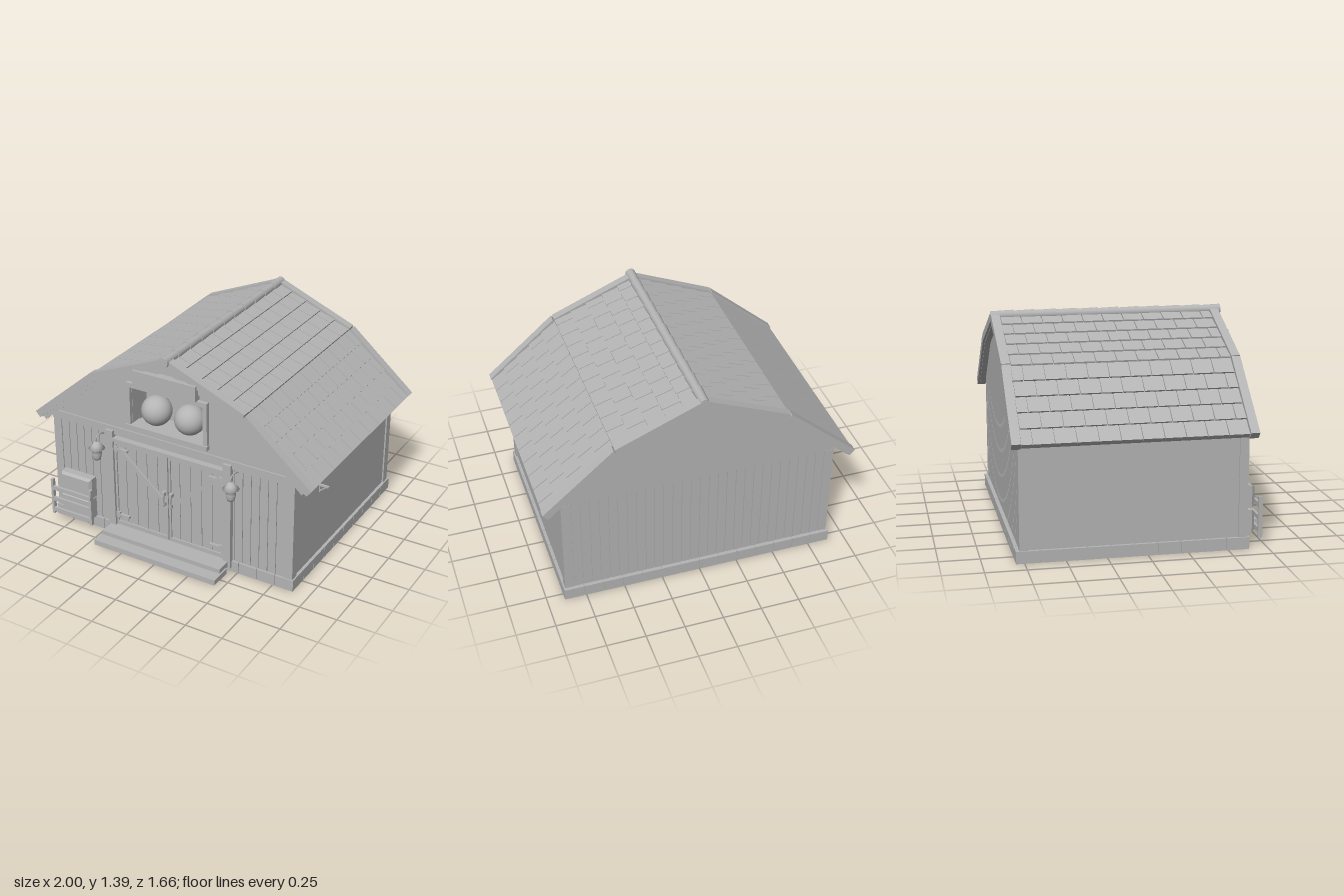
import * as THREE from 'three';
import { mergeGeometries } from 'three/addons/utils/BufferGeometryUtils.js';

const gray = new THREE.MeshStandardMaterial({ color: 0xb4b4b4 });
gray.name = 'plainGray';

// box from min and max corners
function block(x0, x1, y0, y1, z0, z1) {
  return new THREE.BoxGeometry(x1 - x0, y1 - y0, z1 - z0)
    .translate((x0 + x1) / 2, (y0 + y1) / 2, (z0 + z1) / 2);
}

// slanted board in the xy plane, from a to b, spanning z0..z1
function board(a, b, thick, z0, z1) {
  const dx = b[0] - a[0], dy = b[1] - a[1];
  return new THREE.BoxGeometry(Math.hypot(dx, dy), thick, z1 - z0)
    .rotateZ(Math.atan2(dy, dx))
    .translate((a[0] + b[0]) / 2, (a[1] + b[1]) / 2, (z0 + z1) / 2);
}

function polygon(points) {
  return new THREE.Shape(points.map(p => new THREE.Vector2(p[0], p[1])));
}

function prism(shape, z0, z1) {
  return new THREE.ExtrudeGeometry(shape, { depth: z1 - z0, bevelEnabled: false }).translate(0, 0, z0);
}

export function createModel() {
  const barn = new THREE.Group();
  barn.name = 'barn';
  const add = (name, ...geos) => {
    const geo = geos.length > 1 ? mergeGeometries(geos.map(g => g.index ? g.toNonIndexed() : g)) : geos[0];
    const mesh = new THREE.Mesh(geo, gray);
    mesh.name = name;
    barn.add(mesh);
  };

  // stone foundation
  add('foundationCore', block(-0.885, 0.885, 0, 0.072, -0.795, 0.625));
  const stones = [];
  for (let i = 0; i < 10; i++) {
    const z = -0.8 + i * 0.143;
    for (const s of [-1, 1]) stones.push(block(s * 0.87 - 0.02, s * 0.87 + 0.02, 0, 0.076, z + 0.002, z + 0.141));
  }
  for (let i = 0; i < 14; i++) {
    const x = -0.89 + i * 1.78 / 14;
    for (const z of [-0.802, 0.592]) stones.push(block(x + 0.002, x + 0.125, 0, 0.076, z, z + 0.04));
  }
  add('foundationStones', ...stones);

  // walls and gables, with a recessed loft opening in the front
  const outline = [[-0.88, 0.75], [0.88, 0.75], [0.88, 0.785], [0.53, 1.095], [0, 1.315], [-0.53, 1.095], [-0.88, 0.785]];
  add('wallBody', block(-0.87, 0.87, 0.07, 0.755, -0.768, 0.608));
  add('gableBody', prism(polygon(outline), -0.778, 0.46));
  const front = polygon(outline);
  front.holes.push(new THREE.Path([[-0.26, 0.85], [-0.26, 1.12], [0.26, 1.12], [0.26, 0.85]].map(p => new THREE.Vector2(...p))));
  add('frontGable', prism(front, 0.46, 0.62));

  // vertical wall planks
  const planks = [];
  for (let i = 0; i < 28; i++) {
    const x = -0.82 + i * 1.64 / 28, w = 1.64 / 28;
    planks.push(block(x + 0.002, x + w - 0.002, 0.07, 0.75, -0.778, -0.76));
    if (x + w < -0.4 || x > 0.4) planks.push(block(x + 0.002, x + w - 0.002, 0.07, 0.75, 0.6, 0.618));
  }
  add('wallPlanks', ...planks);

  // corner boards and front beam
  const corners = [];
  for (const s of [-1, 1]) {
    for (const z of [-0.78, 0.565]) {
      const x = s * 0.85;
      corners.push(block(x - 0.03, x + 0.03, 0.07, 0.75, z, z + 0.057));
    }
  }
  add('cornerBoards', ...corners);
  add('frontBeam', block(-0.88, 0.88, 0.74, 0.795, 0.6, 0.63));

  // gambrel roof: deck, shingles, edge boards
  const ridge = [0, 1.345], knee = [0.54, 1.12], eave = [0.985, 0.737];
  const m = p => [-p[0], p[1]];
  add('roofDeck', prism(polygon([ridge, knee, [0.975, 0.745], [0.955, 0.72], [0.525, 1.09], [0, 1.312],
    [-0.525, 1.09], [-0.955, 0.72], [-0.975, 0.745], m(knee)]), -0.815, 0.64));
  const shingles = [], edges = [], trim = [];
  for (const s of [-1, 1]) {
    const pts = [ridge, knee, eave].map(p => [p[0] * s, p[1]]);
    for (let k = 0; k < 2; k++) {
      const a = pts[k], b = pts[k + 1];
      for (const [z0, z1] of [[-0.83, -0.775], [0.595, 0.65]]) {
        edges.push(board(a, b, 0.05, z0, z1));
      }
      // narrow strip beneath the front edge
      trim.push(board([a[0], a[1] - 0.045], [b[0] - s * 0.04 * k, b[1] - 0.045 + 0.03 * k], 0.04, 0.6, 0.635));
      const len = Math.hypot(b[0] - a[0], b[1] - a[1]);
      const n = [s * (a[1] - b[1]) / len, Math.abs(b[0] - a[0]) / len];
      for (let r = 0; r < 5; r++) {
        const at = (t, h) => [a[0] + (b[0] - a[0]) * t + n[0] * h, a[1] + (b[1] - a[1]) * t + n[1] * h];
        const p = at(r / 5, 0), q = at((r + 1) / 5, 0.01);
        const shift = (r + k) % 2 ? 0.065 : 0;
        for (let z = -0.772 - shift; z < 0.59; z += 0.13) {
          const z0 = Math.max(z, -0.775) + 0.003, z1 = Math.min(z + 0.13, 0.595) - 0.003;
          if (z1 - z0 > 0.015) shingles.push(board(p, q, 0.016, z0, z1));
        }
      }
    }
  }
  add('roofShingles', ...shingles);
  add('roofEdgeBoards', ...edges);
  add('gableTrim', ...trim);

  // overlapping ridge tiles
  const caps = [];
  for (let i = 0; i < 11; i++) {
    caps.push(new THREE.CylinderGeometry(0.034, 0.028, 0.145, 12).rotateX(Math.PI / 2)
      .translate(0, 1.352, -0.755 + i * 0.135));
  }
  add('ridgeTiles', ...caps);

  // loft window frame, sign board and round bales
  add('loftFrame', block(-0.29, -0.262, 0.84, 1.14, 0.6, 0.645), block(0.262, 0.29, 0.84, 1.14, 0.6, 0.645),
    block(-0.29, 0.29, 1.115, 1.145, 0.6, 0.645), block(-0.295, 0.295, 0.828, 0.858, 0.55, 0.655));
  add('blankBoard', block(-0.225, 0.225, 1.15, 1.25, 0.615, 0.668));
  for (const s of [-1, 1]) {
    add('loftBall', new THREE.SphereGeometry(0.098, 24, 16).translate(s * 0.12, 0.957, 0.56));
  }

  // double door
  add('doorPosts', block(-0.458, -0.402, 0.03, 0.77, 0.6, 0.65), block(0.402, 0.458, 0.03, 0.77, 0.6, 0.65));
  add('doorLintel', block(-0.402, 0.402, 0.7, 0.722, 0.6, 0.65));
  for (const s of [-1, 1]) {
    const box = (x0, x1, ...rest) => block(Math.min(s * x0, s * x1), Math.max(s * x0, s * x1), ...rest);
    const leaf = [];
    for (let i = 0; i < 5; i++) leaf.push(box(0.005 + i * 0.079, 0.08 + i * 0.079, 0.08, 0.695, 0.6, 0.626));
    add('doorPlanks', ...leaf);
    add('doorFrame', box(0.004, 0.018, 0.08, 0.695, 0.6, 0.636), box(0.385, 0.4, 0.08, 0.695, 0.6, 0.636),
      box(0.004, 0.4, 0.08, 0.108, 0.6, 0.637), box(0.004, 0.4, 0.675, 0.697, 0.6, 0.637),
      board([s * 0.375, 0.655], [s * 0.025, 0.35], 0.026, 0.6, 0.64));
    add('doorHinges', box(0.3, 0.4, 0.147, 0.163, 0.6, 0.644), box(0.3, 0.4, 0.635, 0.651, 0.6, 0.644),
      box(0.372, 0.4, 0.135, 0.175, 0.6, 0.643), box(0.372, 0.4, 0.623, 0.663, 0.6, 0.643));
    add('doorHandle', box(0.02, 0.032, 0.34, 0.44, 0.65, 0.662), box(0.016, 0.036, 0.34, 0.365, 0.62, 0.66),
      box(0.016, 0.036, 0.415, 0.44, 0.62, 0.66));

    // wall lantern
    const lantern = [[0, 0.57], [0.022, 0.572], [0.026, 0.585], [0.032, 0.615], [0.026, 0.645], [0.052, 0.65],
      [0.03, 0.675], [0.018, 0.695], [0, 0.698]];
    add('lantern', new THREE.LatheGeometry(lantern.map(p => new THREE.Vector2(...p)), 16).translate(s * 0.49, 0, 0.7));
    const arm = new THREE.CatmullRomCurve3([[0.72, 0.61], [0.738, 0.66], [0.725, 0.7], [0.69, 0.7]]
      .map(p => new THREE.Vector3(s * 0.49, p[0], p[1])));
    add('lanternArm', new THREE.TubeGeometry(arm, 12, 0.005, 6));
  }

  // front steps
  add('upperStep', block(-0.44, 0.44, 0.04, 0.075, 0.61, 0.75));
  add('lowerStep', block(-0.45, 0.45, 0.008, 0.045, 0.68, 0.83));

  // stacked bales with bevelled edges
  for (const [x, y] of [[-0.69, 0.15], [-0.685, 0.305]]) {
    const hw = 0.105, hh = 0.058;
    add('hayBale', new THREE.ExtrudeGeometry(polygon([[-hw, -hh], [hw, -hh], [hw, hh], [-hw, hh]]),
      { depth: 0.05, bevelThickness: 0.018, bevelSize: 0.014, bevelSegments: 1 }).translate(x, y, 0.62));
  }

  // small fence in front of the bales
  add('fencePosts', block(-0.862, -0.845, 0.06, 0.32, 0.695, 0.72), block(-0.562, -0.545, 0.06, 0.32, 0.695, 0.72));
  add('fenceRails', ...[0.095, 0.175, 0.258].map(y => block(-0.86, -0.547, y - 0.014, y + 0.014, 0.705, 0.722)));

  // small bracket on the left wall
  add('wallBracket', block(0.865, 0.935, 0.563, 0.575, 0.258, 0.272),
    board([0.872, 0.528], [0.918, 0.566], 0.007, 0.261, 0.269),
    block(0.866, 0.876, 0.52, 0.575, 0.26, 0.27));

  return barn;
}
